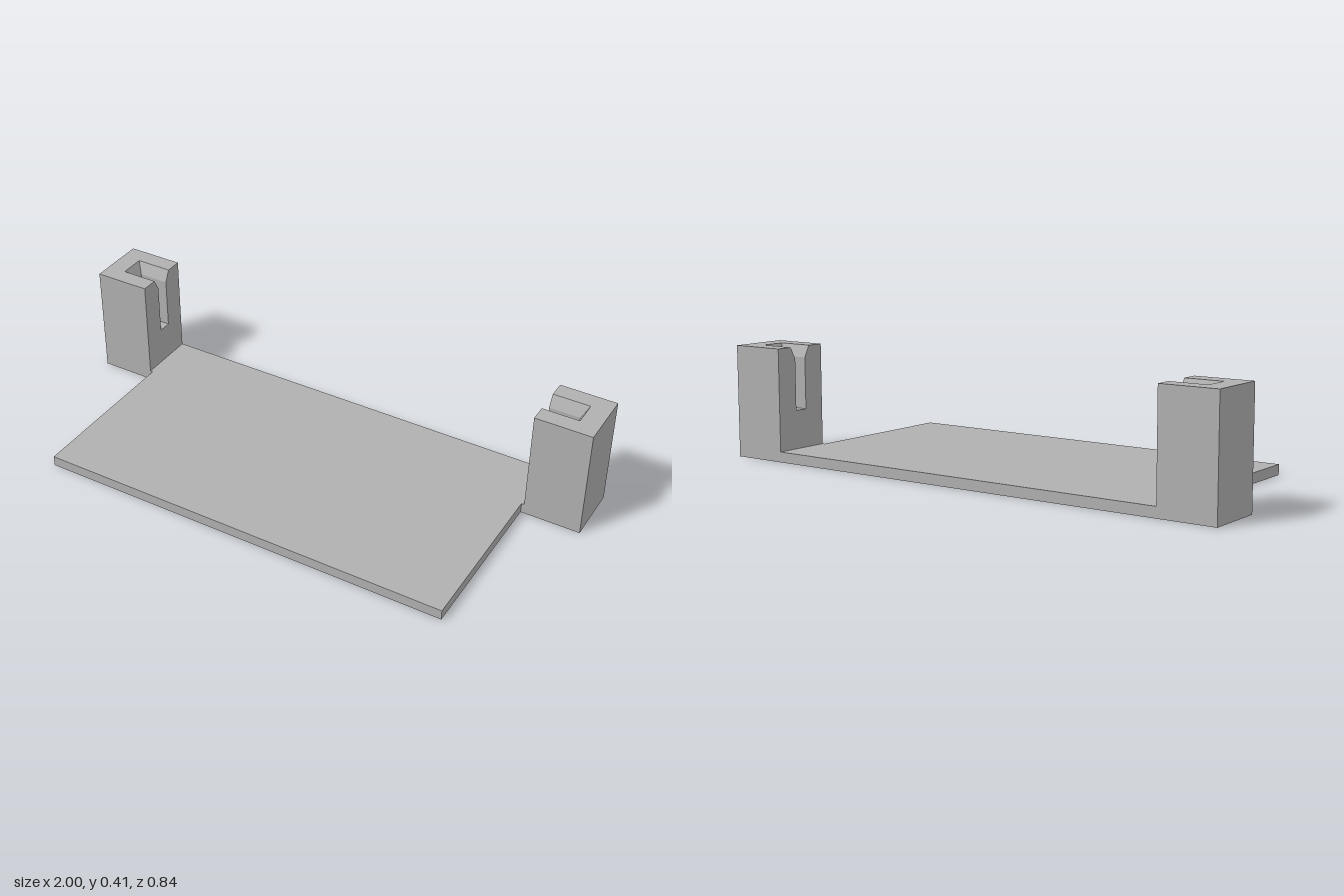
import * as THREE from 'three';

const FLOOR = 0.18, LIP = 0.37, TOP = 0.413; // slot floor, chamfer start, post top
const BACK = -0.42, FRONT = -0.2, INNER = 0.79;
const SLOT = { end: 0.905, near: -0.285, far: -0.335, chamfer: 0.022 };

// Shape from [x, z] points, extruded upwards from y = 0
function extrudeUp(points, depth, steps = 1) {
  const shape = new THREE.Shape(points.map(([x, z]) => new THREE.Vector2(x, -z)));
  return new THREE.ExtrudeGeometry(shape, { depth, steps, bevelEnabled: false }).rotateX(-Math.PI / 2);
}

// C-shaped upper post; the slot opens inward and flares at the top
function slottedTop(side) {
  const { end, near, far, chamfer } = SLOT;
  const outline = [
    [INNER, FRONT], [1, FRONT], [1, BACK], [INNER, BACK],
    [INNER, far], [end, far], [end, near], [INNER, near],
  ].map(([x, z]) => [x * side, z]);
  const geo = extrudeUp(outline, 2, 2);
  const p = geo.attributes.position;
  for (let i = 0; i < p.count; i++) {
    const level = Math.round(p.getY(i));
    const x = Math.abs(p.getX(i)), z = p.getZ(i);
    p.setY(i, [FLOOR, LIP, TOP][level]);
    if (level < 2) continue;
    if (Math.abs(z - near) < 1e-4) p.setZ(i, near + chamfer);
    if (Math.abs(z - far) < 1e-4) p.setZ(i, far - chamfer);
    if (Math.abs(x - end) < 1e-4) p.setX(i, side * (end + chamfer));
  }
  geo.computeVertexNormals();
  return geo;
}

export function createModel() {
  const model = new THREE.Group();
  model.name = 'slottedBracket';
  const grey = new THREE.MeshStandardMaterial({ color: 0xb0b0b0 });
  grey.name = 'grey';

  const add = (parent, name, geometry) => {
    const mesh = new THREE.Mesh(geometry, grey);
    mesh.name = name;
    parent.add(mesh);
    return mesh;
  };

  // Flat plate, slightly wider where it meets the posts
  add(model, 'basePlate', extrudeUp([
    [-0.78, 0.42], [0.78, 0.42], [0.78, FRONT], [INNER, FRONT],
    [INNER, BACK], [-INNER, BACK], [-INNER, FRONT], [-0.78, FRONT],
  ], 0.038));

  // Two mirrored posts at the back corners
  for (const side of [1, -1]) {
    const post = new THREE.Group();
    post.name = side > 0 ? 'leftPost' : 'rightPost';
    const foot = add(post, 'postFoot', new THREE.BoxGeometry(1 - INNER, FLOOR, FRONT - BACK));
    foot.position.set(side * (1 + INNER) / 2, FLOOR / 2, (FRONT + BACK) / 2);
    add(post, 'slottedTop', slottedTop(side));
    model.add(post);
  }
  return model;
}
